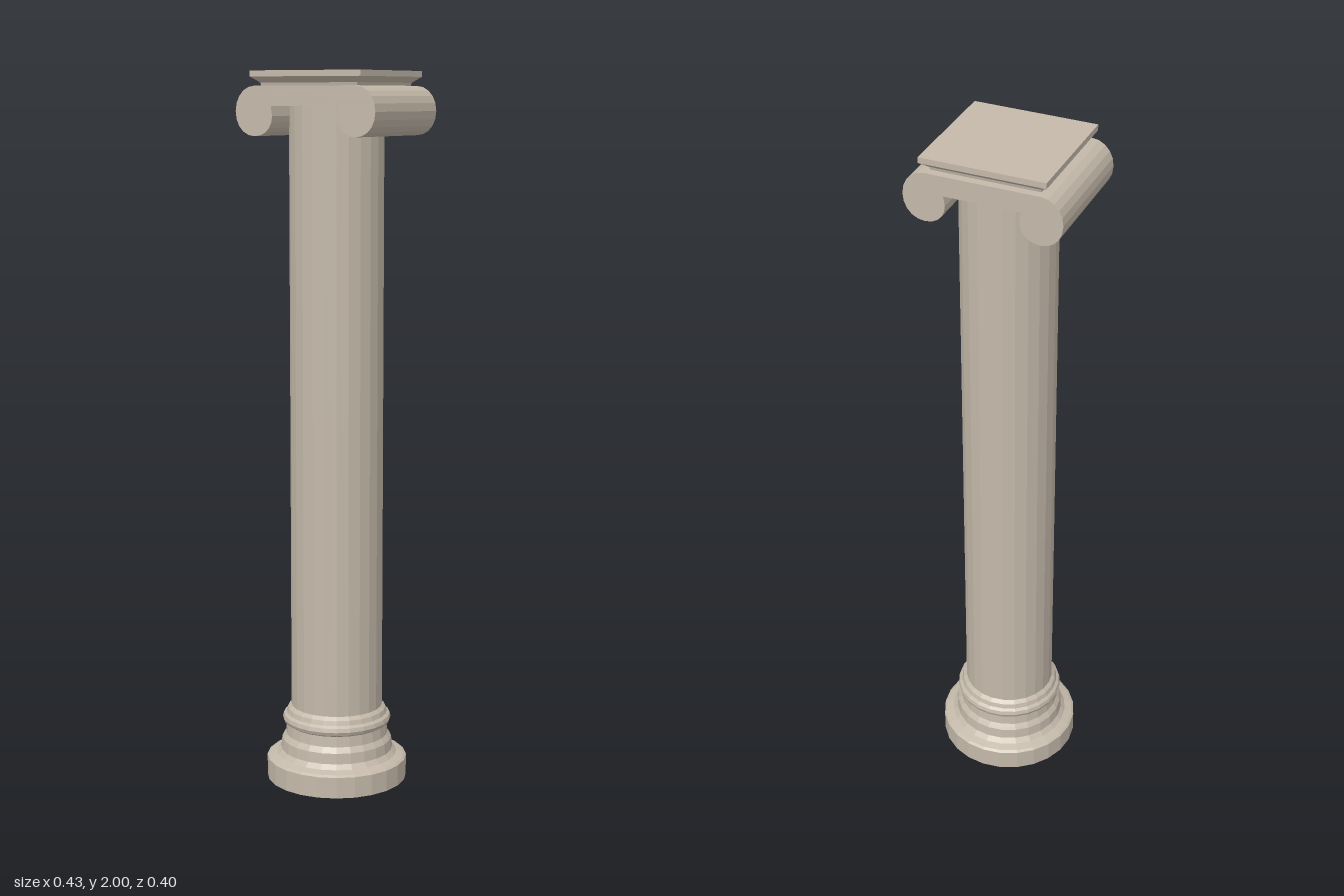
import * as THREE from 'three';

const SIDES = 24;

export function createModel() {
  const column = new THREE.Group();
  column.name = 'column';
  const stone = new THREE.MeshStandardMaterial({ color: 0xc4b9aa, flatShading: true, side: THREE.DoubleSide });
  stone.name = 'pale stone';

  const add = (name, geometry) => {
    const mesh = new THREE.Mesh(geometry, stone);
    mesh.name = name;
    column.add(mesh);
    return mesh;
  };
  const lathe = (points, sides = SIDES, start = 0) =>
    new THREE.LatheGeometry(points.map(([r, y]) => new THREE.Vector2(r, y)), sides, start);

  // Hollow moulded base: plinth, scotia and rounded rings, open underneath
  add('base', lathe([
    [0.2, 0], [0.2, 0.06], [0.193, 0.065], [0.172, 0.072], [0.16, 0.085],
    [0.157, 0.115], [0.152, 0.122], [0.146, 0.13], [0.143, 0.16],
    [0.151, 0.165], [0.155, 0.175], [0.152, 0.186], [0.144, 0.192],
    [0.14, 0.205], [0.13, 0.214],
  ]));

  // Straight shaft running up into the capital
  add('shaft', lathe([[0.13, 0.214], [0.13, 1.91]]));

  // Scroll block: flat top, rolled ends, recessed underside
  const scroll = new THREE.Shape();
  scroll.moveTo(-0.155, 1.96);
  scroll.lineTo(0.155, 1.96);
  scroll.bezierCurveTo(0.19, 1.96, 0.216, 1.93, 0.216, 1.892);
  scroll.bezierCurveTo(0.216, 1.853, 0.19, 1.826, 0.156, 1.826);
  scroll.bezierCurveTo(0.122, 1.826, 0.1, 1.85, 0.1, 1.88);
  scroll.lineTo(0.104, 1.906);
  scroll.lineTo(-0.104, 1.906);
  scroll.lineTo(-0.1, 1.88);
  scroll.bezierCurveTo(-0.1, 1.85, -0.122, 1.826, -0.156, 1.826);
  scroll.bezierCurveTo(-0.19, 1.826, -0.216, 1.853, -0.216, 1.892);
  scroll.bezierCurveTo(-0.216, 1.93, -0.19, 1.96, -0.155, 1.96);
  const capital = new THREE.ExtrudeGeometry(scroll, { depth: 0.342, bevelEnabled: false, curveSegments: 5 });
  capital.translate(0, 0, -0.171);
  add('scrollCapital', capital);

  // Square slab with a stepped underside
  const d = Math.SQRT2;
  add('abacus', lathe([
    [0.148 * d, 1.958], [0.15 * d, 1.968], [0.16 * d, 1.976],
    [0.171 * d, 1.984], [0.171 * d, 2], [0, 2],
  ], 4, Math.PI / 4));

  return column;
}
